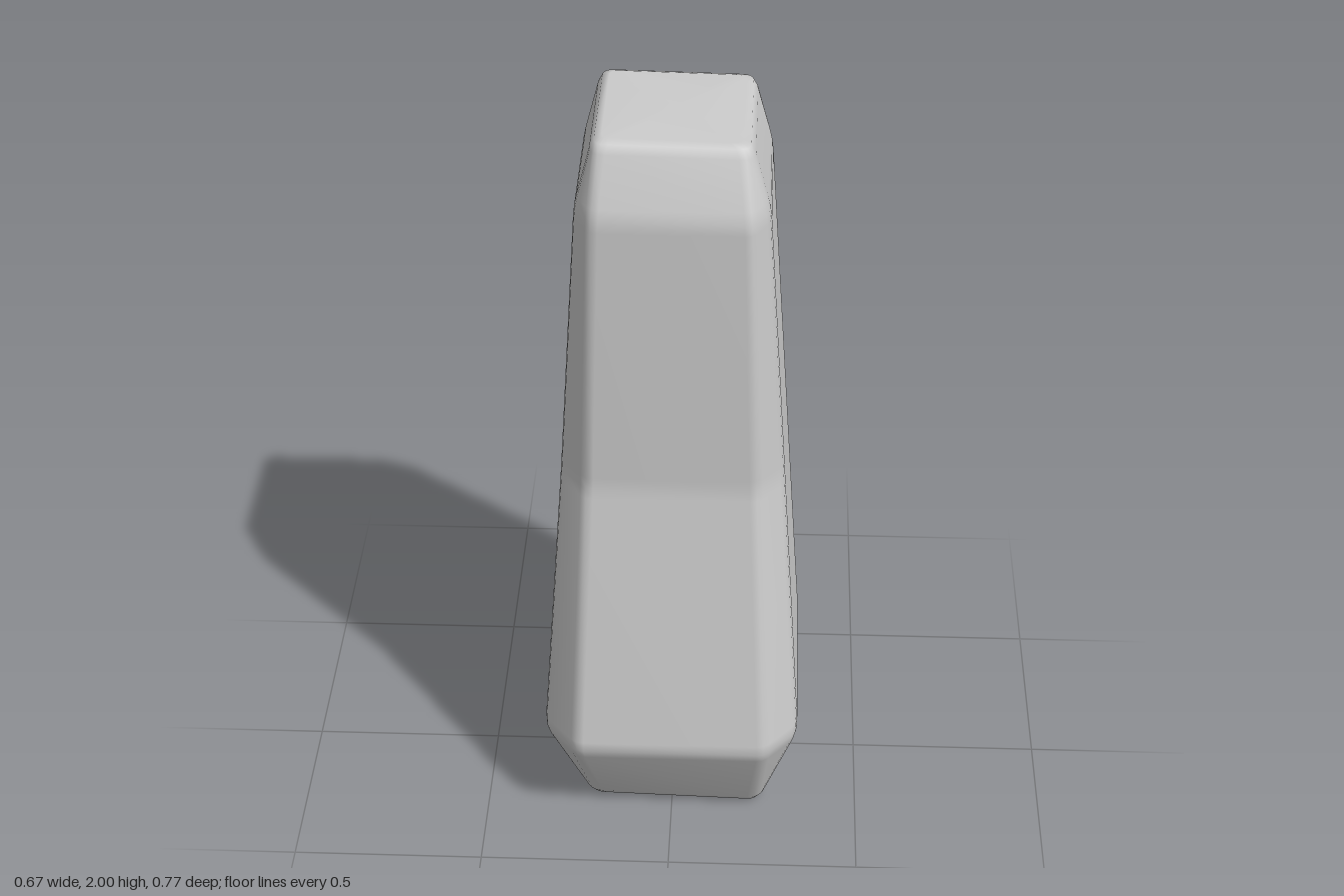
import * as THREE from 'three';

// Control rings: [y, half width, back z, front z, corner cut in x, corner cut in z, x shift, tilt per x, tilt per z]
const RINGS = [
  [0.013, 0, 0, 0, 0, 0, 0.01, 0, 0],
  [0.013, 0.232, -0.24, 0.248, 0.018, 0.018, 0.01, -0.03, -0.02],
  [0.28, 0.338, -0.385, 0.388, 0.088, 0.105, 0, 0, 0],
  [1.05, 0.286, -0.364, 0.266, 0.068, 0.085, 0, 0, 0],
  [1.82, 0.237, -0.263, 0.27, 0.042, 0.07, 0, 0, 0],
  [1.996, 0.19, -0.2, 0.202, 0.014, 0.014, 0, -0.02, 0],
  [1.996, 0, 0, 0, 0, 0, 0, 0, 0],
];

// Eight corners of a box section with cut corners
function octagon([y, w, zb, zf, cx, cz, sx, tx, tz]) {
  return [
    [w, zf - cz], [w - cx, zf], [cx - w, zf], [-w, zf - cz],
    [-w, zb + cz], [cx - w, zb], [w - cx, zb], [w, zb + cz],
  ].map(([x, z]) => new THREE.Vector3(x + sx, y + tx * x + tz * z, z));
}

// Replace a corner with a short three-point curve
function roundCorner(prev, p, next, radius) {
  const toward = (q) => p.clone().lerp(q, Math.min(0.35, radius / Math.max(p.distanceTo(q), 1e-6)));
  const a = toward(prev), b = toward(next);
  const mid = p.clone().multiplyScalar(2).add(a).add(b).multiplyScalar(0.25);
  return [a, mid, b];
}

function createBlockGeometry() {
  const control = RINGS.map(octagon);

  // Soften the edges that run around the body
  const rings = [control[0]];
  for (let i = 1; i < control.length - 1; i++) {
    const columns = control[i].map((p, k) => roundCorner(control[i - 1][k], p, control[i + 1][k], 0.03));
    for (let s = 0; s < 3; s++) rings.push(columns.map((c) => c[s]));
  }
  rings.push(control[control.length - 1]);

  // Soften the edges that run up the body
  const rounded = rings.map((ring) =>
    ring.flatMap((p, k) => roundCorner(ring[(k + 7) % 8], p, ring[(k + 1) % 8], 0.02)));

  // Skin the rings, closing at the cap centres
  const n = rounded[0].length;
  const index = [];
  for (let i = 0; i < rounded.length - 1; i++) {
    for (let k = 0; k < n; k++) {
      const a = i * n + k, b = i * n + (k + 1) % n, c = b + n, d = a + n;
      if (i < rounded.length - 2) index.push(a, d, c);
      if (i > 0) index.push(a, c, b);
    }
  }
  const geometry = new THREE.BufferGeometry().setFromPoints(rounded.flat());
  geometry.setIndex(index);
  geometry.computeVertexNormals();
  return geometry;
}

export function createModel() {
  const group = new THREE.Group();
  group.name = 'taperedStonePillar';
  const body = new THREE.Mesh(
    createBlockGeometry(),
    new THREE.MeshStandardMaterial({ color: 0xcccccc }),
  );
  body.name = 'pillarBody';
  group.add(body);
  return group;
}
